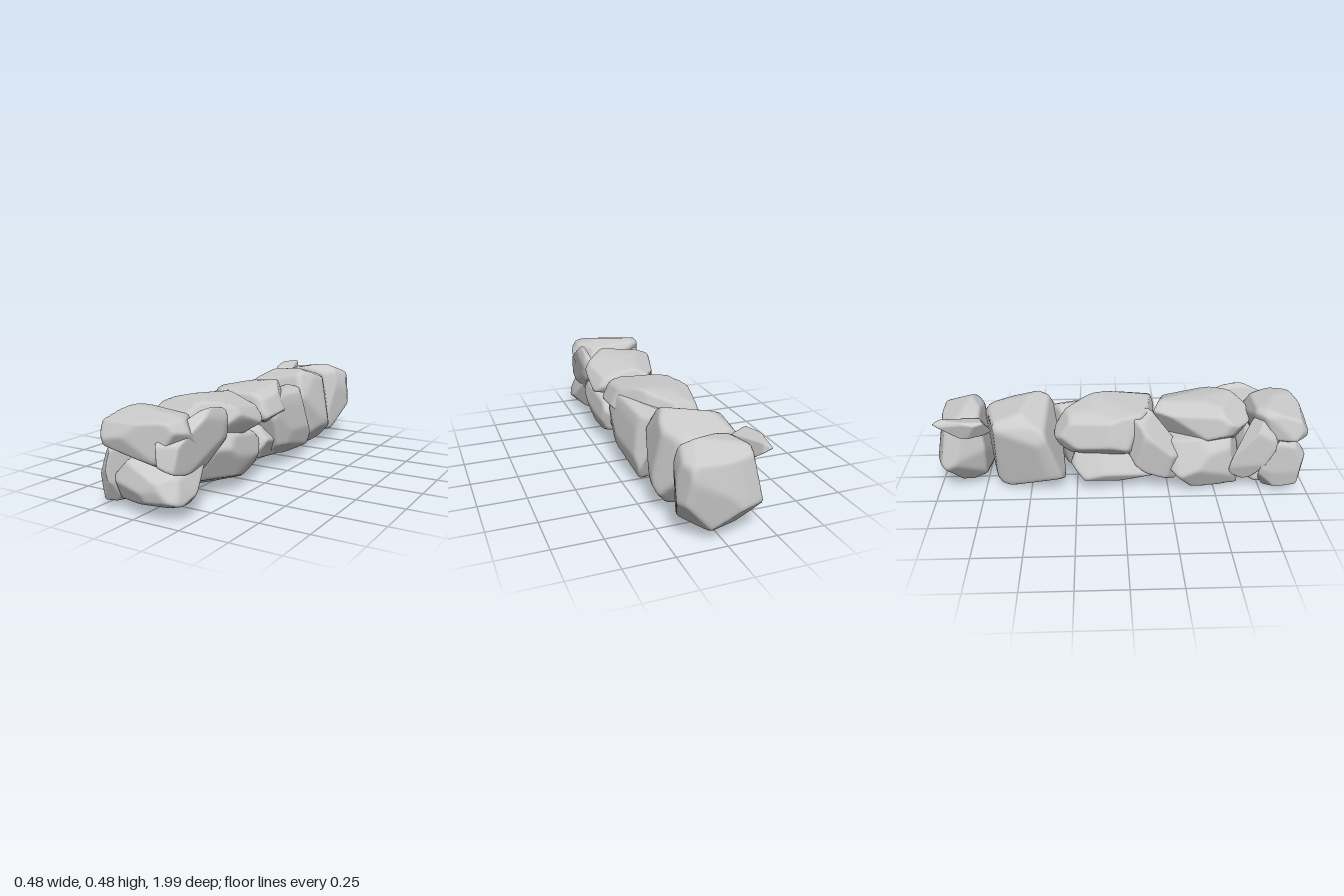
import * as THREE from 'three';
import { mergeVertices } from 'three/addons/utils/BufferGeometryUtils.js';

// Outline axes of each view, then the axis it looks along
const AXES = { side: ['z', 'y', 'x'], top: ['x', 'z', 'y'], front: ['x', 'y', 'z'] };

// Small seeded generator so every stone keeps its own facets
function seeded(seed) {
  let s = seed * 7919 + 17;
  for (let i = 0; i < 5; i++) s = (s * 16807) % 2147483647;
  return () => (s = (s * 16807) % 2147483647) / 2147483647;
}

// Irregular cuts around a rounded unit box that take off the corners
function cornerCuts(rnd, count = 20) {
  const turn = new THREE.Euler(rnd() * 3, rnd() * 3, rnd() * 3);
  const q = 1.5;
  return Array.from({ length: count }, (_, i) => {
    const y = 1 - (2 * (i + 0.5)) / count;
    const r = Math.sqrt(1 - y * y);
    const n = new THREE.Vector3(r * Math.cos(i * 2.39996), y, r * Math.sin(i * 2.39996));
    n.add(new THREE.Vector3(rnd() - 0.5, rnd() - 0.5, rnd() - 0.5).multiplyScalar(0.4));
    n.normalize().applyEuler(turn);
    const d = (Math.abs(n.x) ** q + Math.abs(n.y) ** q + Math.abs(n.z) ** q) ** (1 / q);
    return { n, d: d * (0.95 + 0.08 * rnd()) };
  });
}

// One slightly leaning cut per outline edge, in the unit space of the bounds
function outlineCuts(rnd, points, [a, b, depth], centre, half) {
  const unit = points.map(([p, q]) => [(p - centre[a]) / half[a], (q - centre[b]) / half[b]]);
  return unit.map(([p, q], i) => {
    const [p2, q2] = unit[(i + 1) % unit.length];
    const n = new THREE.Vector3();
    n[a] = q2 - q;
    n[b] = p - p2;
    n.normalize();
    if (n[a] * p + n[b] * q < 0) n.negate();
    const lean = 0.08 + 0.25 * rnd();
    n[depth] = rnd() < 0.5 ? lean : -lean;
    return { n, d: n[a] * p + n[b] * q - 0.4 * lean };
  });
}

// A stone: its outlines and corner cuts intersected, with softened edges
function stoneGeometry(seed, outlines) {
  const rnd = seeded(seed);
  const views = Object.entries(outlines);
  const box = new THREE.Box3();
  for (const [view, points] of views) {
    for (const i of [0, 1]) {
      const axis = AXES[view][i];
      const values = points.map((p) => p[i]);
      box.min[axis] = Math.min(box.min[axis], ...values);
      box.max[axis] = Math.max(box.max[axis], ...values);
    }
  }
  const centre = box.getCenter(new THREE.Vector3());
  const half = box.getSize(new THREE.Vector3()).multiplyScalar(0.5);
  const cuts = cornerCuts(rnd);
  for (const [view, points] of views) {
    cuts.push(...outlineCuts(rnd, points, AXES[view], centre, half));
  }

  const ball = new THREE.IcosahedronGeometry(1, 16);
  ball.deleteAttribute('normal');
  ball.deleteAttribute('uv');
  const g = mergeVertices(ball, 1e-4);
  const pos = g.attributes.position;
  const v = new THREE.Vector3();
  const sharp = 70;
  for (let i = 0; i < pos.count; i++) {
    v.fromBufferAttribute(pos, i).normalize();
    let sum = 0;
    for (const { n, d } of cuts) sum += Math.max(n.dot(v) / d, 0) ** sharp;
    v.multiplyScalar(sum ** (-1 / sharp));
    pos.setXYZ(i, v.x, v.y, v.z);
  }
  // settle into the exact bounds
  g.center();
  g.computeBoundingBox();
  const reach = g.boundingBox.max;
  g.scale(half.x / reach.x, half.y / reach.y, half.z / reach.z);
  g.translate(centre.x, centre.y, centre.z);
  g.computeVertexNormals();
  return g;
}

export function createModel() {
  const wall = new THREE.Group();
  wall.name = 'stoneWall';
  const material = new THREE.MeshStandardMaterial({ color: 0xcccccc });
  const stone = (name, seed, outlines) => {
    const mesh = new THREE.Mesh(stoneGeometry(seed, outlines), material);
    mesh.name = name;
    wall.add(mesh);
  };

  // front end; side outlines are [z, y], top [x, z], front [x, y]
  stone('frontTopStone', 3, {
    front: [[-0.235, 0.42], [-0.19, 0.455], [0, 0.47], [0.16, 0.44], [0.21, 0.37], [0.14, 0.25], [-0.02, 0.235], [-0.13, 0.26], [-0.23, 0.32]],
    top: [[-0.235, 0.8], [-0.13, 0.71], [0, 0.68], [0.13, 0.68], [0.21, 0.82], [0.2, 0.95], [0.14, 0.985], [-0.18, 0.99], [-0.235, 0.93]],
    side: [[0.99, 0.3], [0.985, 0.4], [0.95, 0.46], [0.85, 0.47], [0.72, 0.45], [0.68, 0.38], [0.7, 0.28], [0.8, 0.235], [0.93, 0.25]],
  });
  stone('frontBottomStone', 8, {
    side: [[0.99, 0.13], [0.965, 0.2], [0.85, 0.26], [0.7, 0.25], [0.64, 0.17], [0.68, 0.06], [0.75, 0.015], [0.91, 0.025], [0.98, 0.07]],
    front: [[-0.17, 0.06], [-0.15, 0.2], [-0.1, 0.26], [0.12, 0.26], [0.2, 0.2], [0.22, 0.1], [0.17, 0.04], [0.08, 0.015], [-0.1, 0.015]],
    top: [[-0.17, 0.75], [-0.13, 0.95], [0, 0.99], [0.15, 0.985], [0.21, 0.93], [0.22, 0.78], [0.12, 0.66], [-0.08, 0.64]],
  });
  stone('frontLeftSlab', 5, {
    side: [[0.985, 0.22], [0.955, 0.34], [0.78, 0.43], [0.59, 0.47], [0.51, 0.42], [0.54, 0.33], [0.71, 0.18], [0.91, 0.18]],
    front: [[0.1, 0.3], [0.13, 0.2], [0.18, 0.18], [0.21, 0.25], [0.22, 0.42], [0.2, 0.47], [0.16, 0.45]],
  });
  stone('frontRightWedge', 12, {
    front: [[-0.22, 0.28], [-0.2, 0.31], [-0.165, 0.27], [-0.135, 0.13], [-0.14, 0.04], [-0.17, 0.015], [-0.21, 0.02], [-0.225, 0.12]],
    side: [[0.97, 0.08], [0.985, 0.2], [0.94, 0.3], [0.85, 0.31], [0.76, 0.2], [0.73, 0.06], [0.78, 0.015], [0.92, 0.015]],
  });
  stone('upperRightSlab', 14, {
    side: [[0.8, 0.45], [0.74, 0.44], [0.62, 0.3], [0.57, 0.13], [0.6, 0.07], [0.69, 0.12], [0.79, 0.3], [0.82, 0.4]],
    front: [[-0.225, 0.2], [-0.22, 0.36], [-0.17, 0.45], [-0.12, 0.42], [-0.12, 0.15], [-0.18, 0.07]],
  });

  // middle
  stone('middleLowerStone', 21, {
    side: [[0.68, 0.08], [0.65, 0.24], [0.57, 0.325], [0.25, 0.34], [0.155, 0.24], [0.16, 0.15], [0.25, 0.065], [0.4, 0.012], [0.6, 0.02]],
    top: [[-0.24, 0.45], [-0.2, 0.3], [-0.1, 0.17], [0.1, 0.155], [0.225, 0.25], [0.225, 0.5], [0.15, 0.66], [-0.1, 0.68], [-0.22, 0.6]],
    front: [[-0.24, 0.06], [-0.23, 0.2], [-0.15, 0.32], [0.1, 0.34], [0.2, 0.3], [0.225, 0.15], [0.18, 0.06], [0.05, 0.012], [-0.18, 0.015]],
  });
  stone('middleUpperStone', 24, {
    side: [[0.69, 0.4], [0.6, 0.465], [0.4, 0.475], [0.2, 0.465], [0.165, 0.38], [0.22, 0.28], [0.4, 0.22], [0.62, 0.28]],
    top: [[-0.2, 0.53], [-0.14, 0.32], [-0.04, 0.175], [0.13, 0.165], [0.21, 0.21], [0.24, 0.36], [0.2, 0.53], [0.1, 0.66], [-0.07, 0.69], [-0.16, 0.62]],
    front: [[-0.2, 0.3], [-0.18, 0.43], [-0.08, 0.475], [0.1, 0.475], [0.2, 0.44], [0.24, 0.38], [0.22, 0.32], [0.1, 0.22], [-0.1, 0.22]],
  });
  stone('longTopStone', 28, {
    side: [[0.185, 0.43], [0.12, 0.465], [-0.1, 0.465], [-0.32, 0.43], [-0.365, 0.37], [-0.3, 0.25], [-0.1, 0.2], [0.12, 0.26]],
    top: [[-0.225, -0.1], [-0.22, -0.25], [-0.15, -0.34], [-0.05, -0.365], [0.12, -0.2], [0.22, 0], [0.215, 0.13], [0.17, 0.185], [0.02, 0.165], [-0.17, 0.05]],
    front: [[-0.225, 0.3], [-0.2, 0.42], [-0.1, 0.46], [0.1, 0.465], [0.21, 0.42], [0.225, 0.36], [0.1, 0.25], [-0.12, 0.2]],
  });
  stone('leftSideStone', 31, {
    side: [[0.09, 0.26], [-0.05, 0.37], [-0.3, 0.41], [-0.38, 0.38], [-0.41, 0.23], [-0.34, 0.07], [-0.22, 0.03], [-0.02, 0.08], [0.07, 0.17]],
    top: [[-0.05, -0.28], [0.04, -0.36], [0.16, -0.41], [0.205, -0.33], [0.225, -0.1], [0.2, 0.06], [0, 0.09]],
    front: [[-0.05, 0.2], [0, 0.35], [0.1, 0.41], [0.18, 0.38], [0.225, 0.25], [0.2, 0.1], [0.1, 0.03], [0, 0.06]],
  });
  stone('lowerCoreStone', 35, {
    side: [[0.22, 0.13], [0.17, 0.28], [-0.2, 0.28], [-0.28, 0.15], [-0.2, 0.05], [0.03, 0.03], [0.18, 0.06]],
    top: [[-0.2, -0.2], [-0.1, -0.28], [0.1, -0.25], [0.19, -0.05], [0.19, 0.17], [0.05, 0.22], [-0.15, 0.15]],
    front: [[-0.2, 0.15], [-0.15, 0.26], [0.1, 0.28], [0.19, 0.18], [0.15, 0.07], [0, 0.03], [-0.15, 0.06]],
  });
  stone('rightSideWedge', 38, {
    side: [[0.06, 0.44], [0.01, 0.38], [0.04, 0.23], [0.18, 0.08], [0.26, 0.05], [0.325, 0.1], [0.3, 0.26], [0.16, 0.41]],
    top: [[-0.225, 0.1], [-0.12, 0.01], [0, 0.16], [-0.08, 0.27], [-0.17, 0.325], [-0.225, 0.27]],
  });

  // back end
  stone('largeBackStone', 44, {
    side: [[-0.37, 0.25], [-0.43, 0.43], [-0.55, 0.48], [-0.7, 0.455], [-0.75, 0.36], [-0.74, 0.15], [-0.66, 0.04], [-0.47, 0], [-0.31, 0.03]],
    top: [[-0.235, -0.5], [-0.22, -0.62], [-0.16, -0.73], [0.14, -0.75], [0.21, -0.6], [0.2, -0.5], [0.14, -0.38], [0, -0.32], [-0.2, -0.32]],
    front: [[-0.235, 0.3], [-0.2, 0.4], [-0.1, 0.47], [0.05, 0.48], [0.15, 0.45], [0.21, 0.33], [0.2, 0.15], [0.1, 0.02], [-0.05, 0], [-0.18, 0.07]],
  });
  stone('backEndStone', 47, {
    side: [[-0.72, 0.2], [-0.73, 0.42], [-0.78, 0.46], [-0.9, 0.46], [-0.97, 0.41], [-1, 0.25], [-0.98, 0.1], [-0.92, 0.03], [-0.8, 0.03], [-0.73, 0.07]],
    top: [[-0.2, -0.85], [-0.17, -0.96], [-0.05, -1], [0.1, -1], [0.18, -0.96], [0.21, -0.87], [0.19, -0.77], [0.12, -0.73], [-0.14, -0.73]],
    front: [[-0.2, 0.2], [-0.18, 0.37], [-0.12, 0.45], [0.08, 0.465], [0.17, 0.42], [0.21, 0.3], [0.2, 0.15], [0.1, 0.03], [-0.08, 0.03]],
  });
  stone('backTopChip', 50, {
    side: [[-0.69, 0.38], [-0.74, 0.44], [-0.97, 0.455], [-0.98, 0.42], [-0.9, 0.37], [-0.74, 0.35]],
    top: [[-0.23, -0.78], [-0.22, -0.95], [-0.2, -0.98], [-0.17, -0.95], [-0.12, -0.78], [-0.14, -0.71], [-0.18, -0.69]],
  });
  return wall;
}
